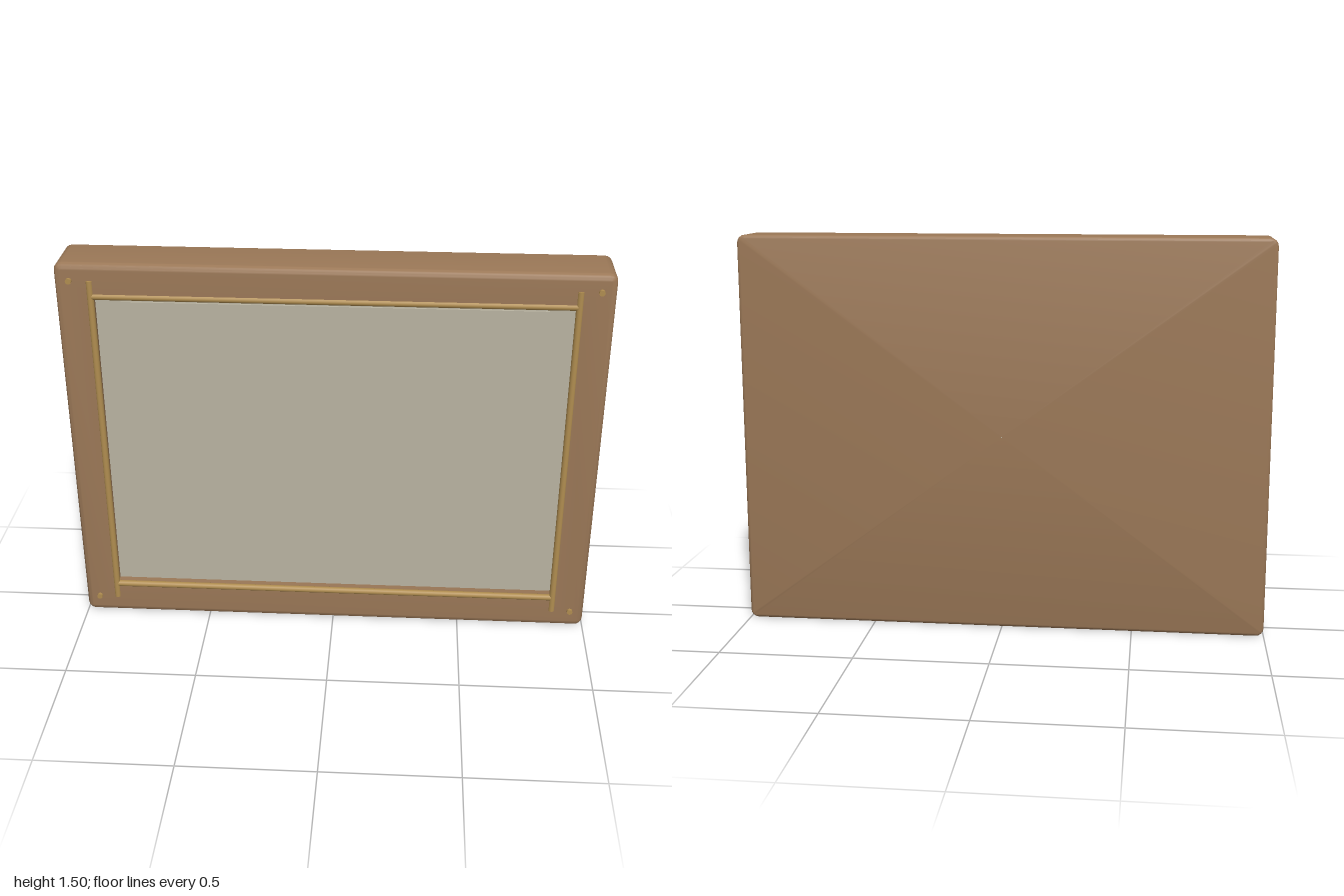
import * as THREE from 'three';
import { toCreasedNormals } from 'three/addons/utils/BufferGeometryUtils.js';

const wood = new THREE.MeshStandardMaterial({ name: 'brown wood', color: 0x9b7857 });
const brass = new THREE.MeshStandardMaterial({ name: 'brass', color: 0xb08d50 });
const pane = new THREE.MeshStandardMaterial({ name: 'pale grey panel', color: 0xbab4a2 });

const MID = 0.75; // height of the frame's centre

// Rounded rectangle, counter-clockwise from the front
function ring(w, h, r, z) {
  const pts = [];
  for (let c = 0; c < 4; c++) {
    const sx = c === 0 || c === 3 ? 1 : -1;
    const sy = c < 2 ? 1 : -1;
    for (let k = 0; k <= 4; k++) {
      const a = (c + k / 4) * Math.PI / 2;
      pts.push([sx * (w - r) + r * Math.cos(a), sy * (h - r) + r * Math.sin(a), z]);
    }
  }
  return pts;
}

// Skin over a list of rings
function loft(rings) {
  const n = rings[0].length;
  const index = [];
  for (let i = 0; i < rings.length - 1; i++) {
    for (let j = 0; j < n; j++) {
      const a = i * n + j, b = i * n + (j + 1) % n;
      index.push(a, b, b + n, a, b + n, a + n);
    }
  }
  const g = new THREE.BufferGeometry();
  g.setAttribute('position', new THREE.Float32BufferAttribute(rings.flat(2), 3));
  g.setIndex(index);
  return toCreasedNormals(g, 0.6);
}

export function createModel() {
  const model = new THREE.Group();
  model.name = 'framedPanel';

  function add(name, geometry, material, x, y, z) {
    const mesh = new THREE.Mesh(geometry, material);
    mesh.name = name;
    mesh.position.set(x, y, z);
    model.add(mesh);
    return mesh;
  }

  // Wooden frame: closed back, rounded edges, recessed opening in front
  const back = -0.108, front = 0.1, rb = 0.014, rf = 0.024;
  const rings = [ring(0.002, 0.002, 0.001, back)];
  for (let k = 0; k <= 5; k++) {
    const a = k / 5 * Math.PI / 2, inset = rb * (1 - Math.sin(a));
    rings.push(ring(1 - inset, MID - inset, 0.03 - inset, back + rb * (1 - Math.cos(a))));
  }
  for (let k = 0; k <= 6; k++) {
    const a = k / 6 * Math.PI / 2, inset = rf * (1 - Math.cos(a));
    rings.push(ring(1 - inset, MID - inset, 0.03 - inset, front - rf * (1 - Math.sin(a))));
  }
  rings.push(ring(0.87, 0.623, 0.001, front));
  rings.push(ring(0.87, 0.623, 0.001, 0.03));
  rings.push(ring(0.002, 0.002, 0.001, 0.03));
  add('frame', loft(rings), wood, 0, MID, 0);

  // Recessed panel with a slightly raised inner sheet
  add('panel', new THREE.BoxGeometry(1.74, 1.246, 0.014), pane, 0, MID, 0.035);
  add('innerSheet', new THREE.BoxGeometry(1.55, 1.16, 0.008), pane, 0, 0.757, 0.045);

  // Beading: long uprights, and rails between them
  for (const s of [-1, 1]) {
    add('uprightBead', new THREE.CylinderGeometry(0.0125, 0.0125, 1.366, 16), brass, s * 0.873, 0.753, 0.094);
    const rail = add('railBead', new THREE.CylinderGeometry(0.0125, 0.0125, 1.74, 16), brass, 0, 0.753 + s * 0.622, 0.093);
    rail.rotation.z = Math.PI / 2;
  }

  // Corner pins
  for (const x of [-0.945, 0.945]) {
    for (const y of [0.073, 1.436]) {
      const pin = add('cornerPin', new THREE.CylinderGeometry(0.011, 0.011, 0.03, 16), brass, x, y, 0.096);
      pin.rotation.x = Math.PI / 2;
    }
  }
  return model;
}
